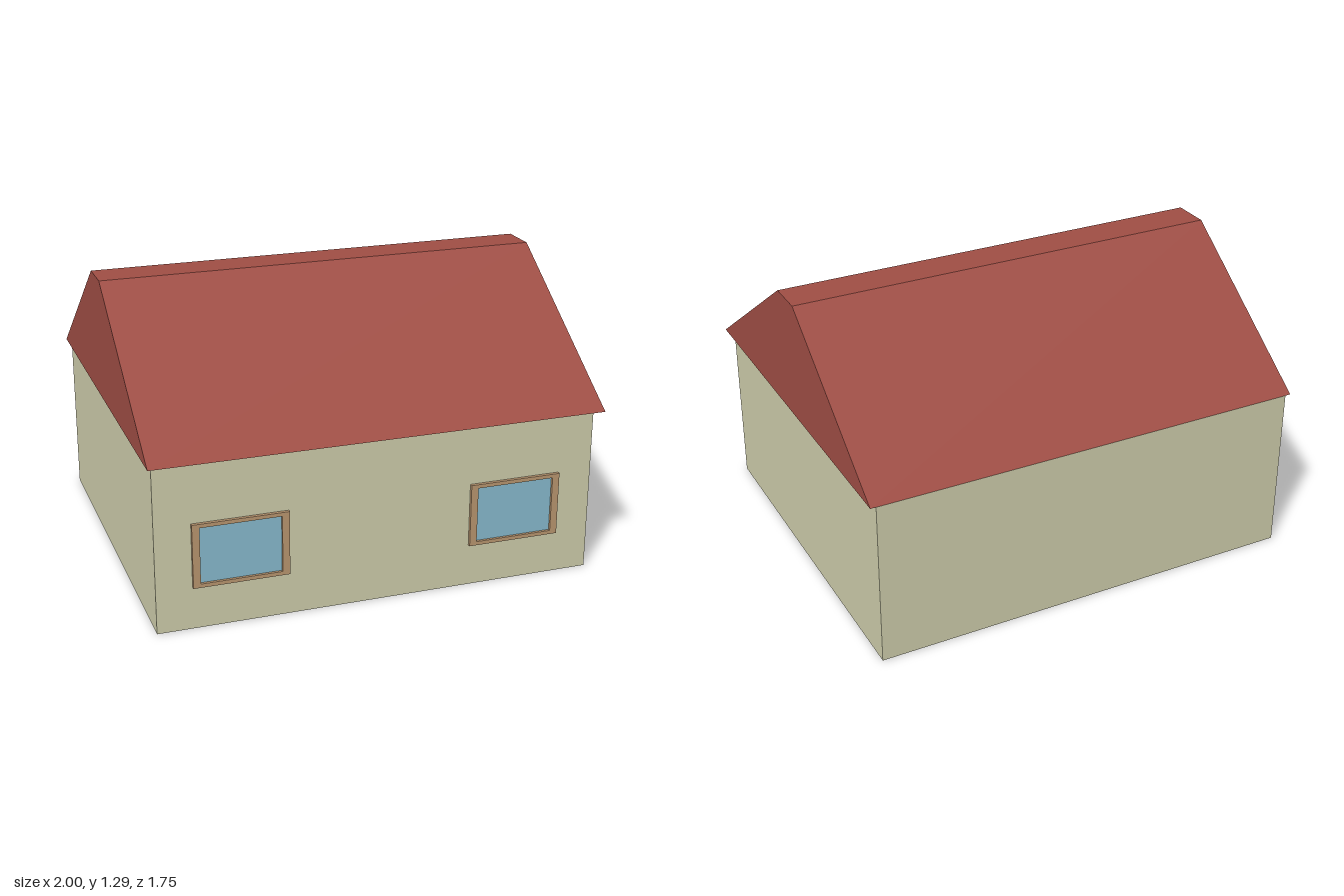
import * as THREE from 'three';

const material = (color) => new THREE.MeshStandardMaterial({ color, flatShading: true });

function addBox(parent, name, mat, [x0, x1], [y0, y1], [z0, z1]) {
  const mesh = new THREE.Mesh(new THREE.BoxGeometry(x1 - x0, y1 - y0, z1 - z0), mat);
  mesh.position.set((x0 + x1) / 2, (y0 + y1) / 2, (z0 + z1) / 2);
  mesh.name = name;
  parent.add(mesh);
}

export function createModel() {
  const house = new THREE.Group();
  house.name = 'house';
  const wallMat = material(0xcccbaa);
  const roofMat = material(0x9e4d44);
  const frameMat = material(0xb8956f);
  const glassMat = material(0x86b9cc);
  const wallFront = 0.815;

  // Walls, flush with the roof at the back
  addBox(house, 'walls', wallMat, [-0.975, 0.975], [0, 0.75], [-0.872, wallFront]);

  // Roof: flat-topped gable profile (z, y) extruded along x
  const profile = new THREE.Shape([
    [0.873, 0.75], [0.057, 1.295], [-0.115, 1.295], [-0.873, 0.75],
  ].map(([z, y]) => new THREE.Vector2(z, y)));
  const roofGeometry = new THREE.ExtrudeGeometry(profile, { depth: 2, bevelEnabled: false });
  roofGeometry.translate(0, 0, -1).rotateY(-Math.PI / 2);
  const roof = new THREE.Mesh(roofGeometry, roofMat);
  roof.name = 'roof';
  house.add(roof);

  // Two front windows: a raised frame around a recessed pane
  const rectangle = (Type, w, h) => new Type([
    new THREE.Vector2(-w / 2, -h / 2), new THREE.Vector2(w / 2, -h / 2),
    new THREE.Vector2(w / 2, h / 2), new THREE.Vector2(-w / 2, h / 2),
  ]);
  for (const side of [-1, 1]) {
    const window = new THREE.Group();
    window.name = side > 0 ? 'leftWindow' : 'rightWindow';
    window.position.set(side * 0.613, 0.33, wallFront);

    const outline = rectangle(THREE.Shape, 0.414, 0.284);
    outline.holes.push(rectangle(THREE.Path, 0.35, 0.25));
    const frame = new THREE.Mesh(
      new THREE.ExtrudeGeometry(outline, { depth: 0.015, bevelEnabled: false }), frameMat);
    frame.name = 'windowFrame';
    window.add(frame);

    addBox(window, 'windowPane', glassMat, [-0.175, 0.175], [-0.125, 0.125], [-0.005, 0.003]);
    house.add(window);
  }
  return house;
}
